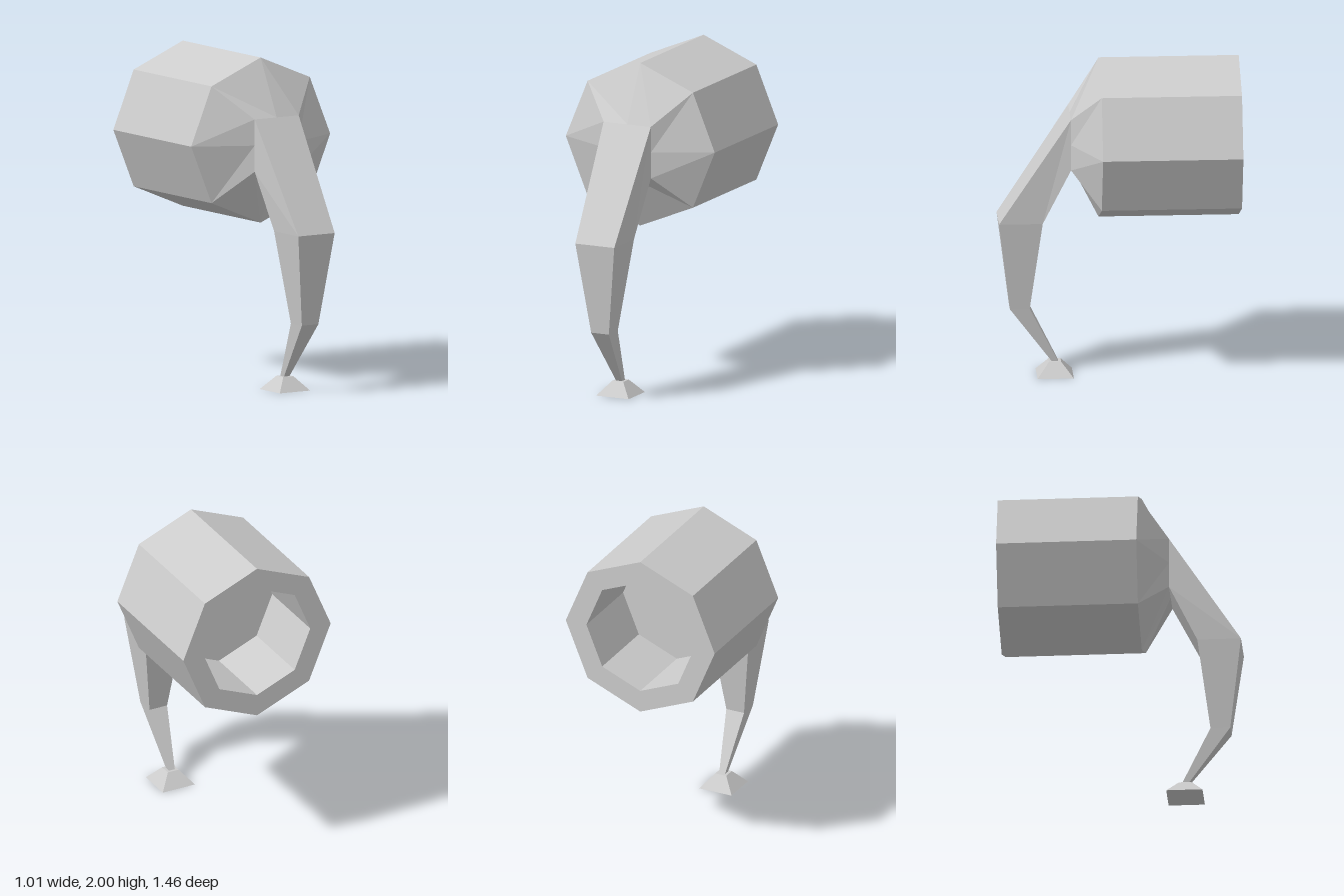
import * as THREE from 'three';

// Skin a list of equal-sized rings, optionally closing the first and last ones
function loft(name, rings, capStart, capEnd) {
  const pos = [];
  const tri = (...pts) => pts.forEach((p) => pos.push(...p));
  const n = rings[0].length;
  for (let r = 0; r < rings.length - 1; r++) {
    const a = rings[r], b = rings[r + 1];
    for (let i = 0; i < n; i++) {
      const j = (i + 1) % n;
      tri(a[i], b[i], b[j]);
      tri(a[i], b[j], a[j]);
    }
  }
  const first = rings[0], last = rings[rings.length - 1];
  for (let i = 1; i < n - 1; i++) {
    if (capStart) tri(first[0], first[i], first[i + 1]);
    if (capEnd) tri(last[0], last[i + 1], last[i]);
  }
  const geometry = new THREE.BufferGeometry();
  geometry.setAttribute('position', new THREE.Float32BufferAttribute(pos, 3));
  geometry.computeVertexNormals();
  const material = new THREE.MeshStandardMaterial({ color: 0xcccccc, flatShading: true });
  const mesh = new THREE.Mesh(geometry, material);
  mesh.name = name;
  return mesh;
}

const AXIS_Y = 1.495;

// Eight points around the barrel axis; square = true pushes them onto a square
function barrelRing(radius, z, square = false) {
  return Array.from({ length: 8 }, (_, i) => {
    const a = (i * Math.PI) / 4;
    const k = square && i % 2 ? Math.SQRT2 * radius : radius;
    return [Math.cos(a) * k, AXIS_Y + Math.sin(a) * k, z];
  });
}

// Four-cornered section from its front and back edges, given as [y, z]
function section(half, [yf, zf], [yb, zb]) {
  return [[half, yf, zf], [half, yb, zb], [-half, yb, zb], [-half, yf, zf]];
}

export function createModel() {
  const group = new THREE.Group();
  group.name = 'model';

  // Octagonal barrel: square neck, shoulder, outer wall, rim, bore and bore floor
  group.add(loft('barrel', [
    barrelRing(0.16, 0.295, true),
    barrelRing(0.505, 0.12),
    barrelRing(0.505, -0.73),
    barrelRing(0.365, -0.73),
    barrelRing(0.365, -0.24),
  ], false, true));

  // Bent arm tapering from the barrel neck down to the foot
  group.add(loft('arm', [
    section(0.16, [1.655, 0.295], [1.335, 0.295]),
    section(0.132, [0.99, 0.73], [0.99, 0.465]),
    section(0.06, [0.43, 0.66], [0.43, 0.54]),
    section(0.02, [0.085, 0.405], [0.085, 0.365]),
  ], false, true));

  // Small pyramid-shaped foot
  group.add(loft('foot', [
    section(0.037, [0.085, 0.422], [0.085, 0.348]),
    section(0.11, [0, 0.495], [0, 0.275]),
  ], true, true));

  return group;
}
